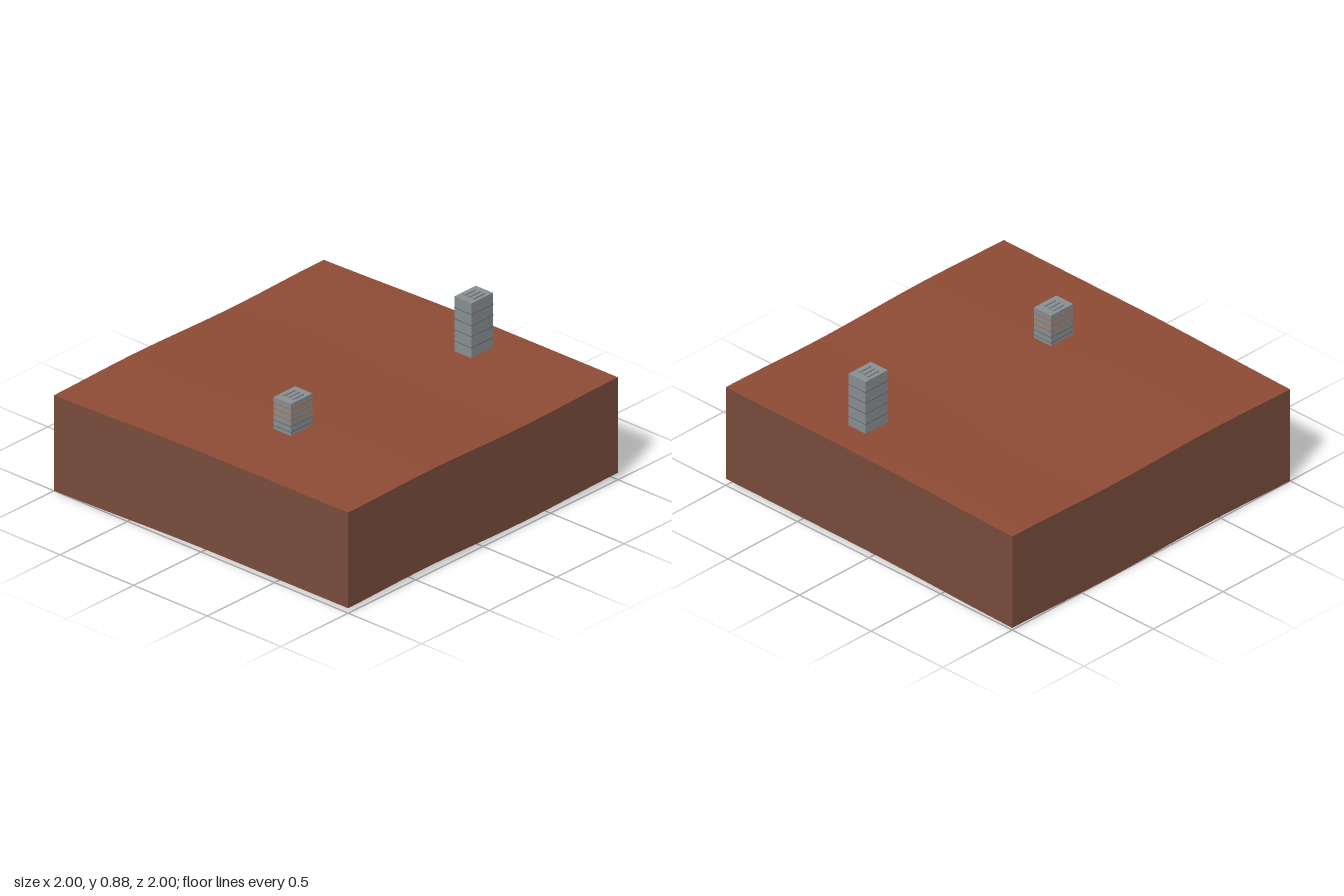
import * as THREE from 'three';

const make = (name, color, side = THREE.FrontSide) => {
  const m = new THREE.MeshStandardMaterial({ color, side });
  m.name = name;
  return m;
};

export function createModel() {
  const soil = make('red soil', 0x8f4c35, THREE.DoubleSide);
  const earth = make('cut earth', 0x7a4d3c, THREE.DoubleSide);
  const concrete = make('grey concrete', 0x8a9094);
  const seam = make('dark seam', 0x62686c);
  const amber = make('amber lights', 0xc8642a);

  const model = new THREE.Group();
  model.name = 'terrainBlock';
  const depth = 0.537;

  // Gentle rolling ground: lower towards -x, one soft ridge across z
  const height = (x, z) =>
    0.567 - 0.022 * (1 - THREE.MathUtils.smoothstep(x, -1.15, 0.1))
    + 0.003 * x + 0.006 * Math.cos((2 * Math.PI * (z - 0.4)) / 1.4);

  const add = (parent, name, geometry, material, x = 0, y = 0, z = 0) => {
    const mesh = new THREE.Mesh(geometry, material);
    mesh.name = name;
    mesh.position.set(x, y, z);
    parent.add(mesh);
    return mesh;
  };

  // Ground surface
  const ground = new THREE.PlaneGeometry(2, 2, 24, 24).rotateX(-Math.PI / 2);
  const gp = ground.attributes.position;
  for (let i = 0; i < gp.count; i++) gp.setY(i, height(gp.getX(i), gp.getZ(i)));
  ground.computeVertexNormals();
  add(model, 'ground', ground, soil);

  // Four skirt walls whose lower edges follow the ground; the underside is open
  ['frontWall', 'leftWall', 'backWall', 'rightWall'].forEach((name, k) => {
    const wall = new THREE.PlaneGeometry(2, 1, 24, 1).translate(0, 0, 1).rotateY((k * Math.PI) / 2);
    const p = wall.attributes.position;
    for (let i = 0; i < p.count; i++) {
      const h = height(p.getX(i), p.getZ(i));
      p.setY(i, p.getY(i) > 0 ? h : h - depth);
    }
    wall.computeVertexNormals();
    add(model, name, wall, earth);
  });

  // Tower with floor bands, small lit windows and ribs on the roof
  const addTower = (name, x, z, top, pitch, litFloors) => {
    const w = 0.117, d = 0.16, base = 0.562;
    const tower = new THREE.Group();
    tower.name = name;
    tower.position.set(x, 0, z);
    add(tower, 'body', new THREE.BoxGeometry(w, top - base, d), concrete, 0, (top + base) / 2, 0);

    let floor = 1;
    for (let y = top - pitch; y > base + 0.02; y -= pitch, floor++) {
      add(tower, 'floorBand', new THREE.BoxGeometry(w + 0.002, 0.004, d + 0.002),
        floor <= litFloors ? amber : seam, 0, y, 0);
      // One window per side, shifted from floor to floor
      const shift = ((floor * 2) % 3) - 1;
      const wy = y + pitch / 2;
      add(tower, 'sideWindows', new THREE.BoxGeometry(w + 0.003, 0.005, 0.008), amber, 0, wy, shift * 0.045);
    }

    for (let i = -1; i <= 1; i++) {
      add(tower, 'roofRib', new THREE.BoxGeometry(0.018, 0.008, 0.08), concrete, i * 0.03, top + 0.004, 0);
    }
    model.add(tower);
  };
  addTower('lowTower', 0.167, 0.5, 0.752, 0.032, 3);
  addTower('tallTower', 0.248, -0.75, 0.876, 0.0625, 0);

  return model;
}
